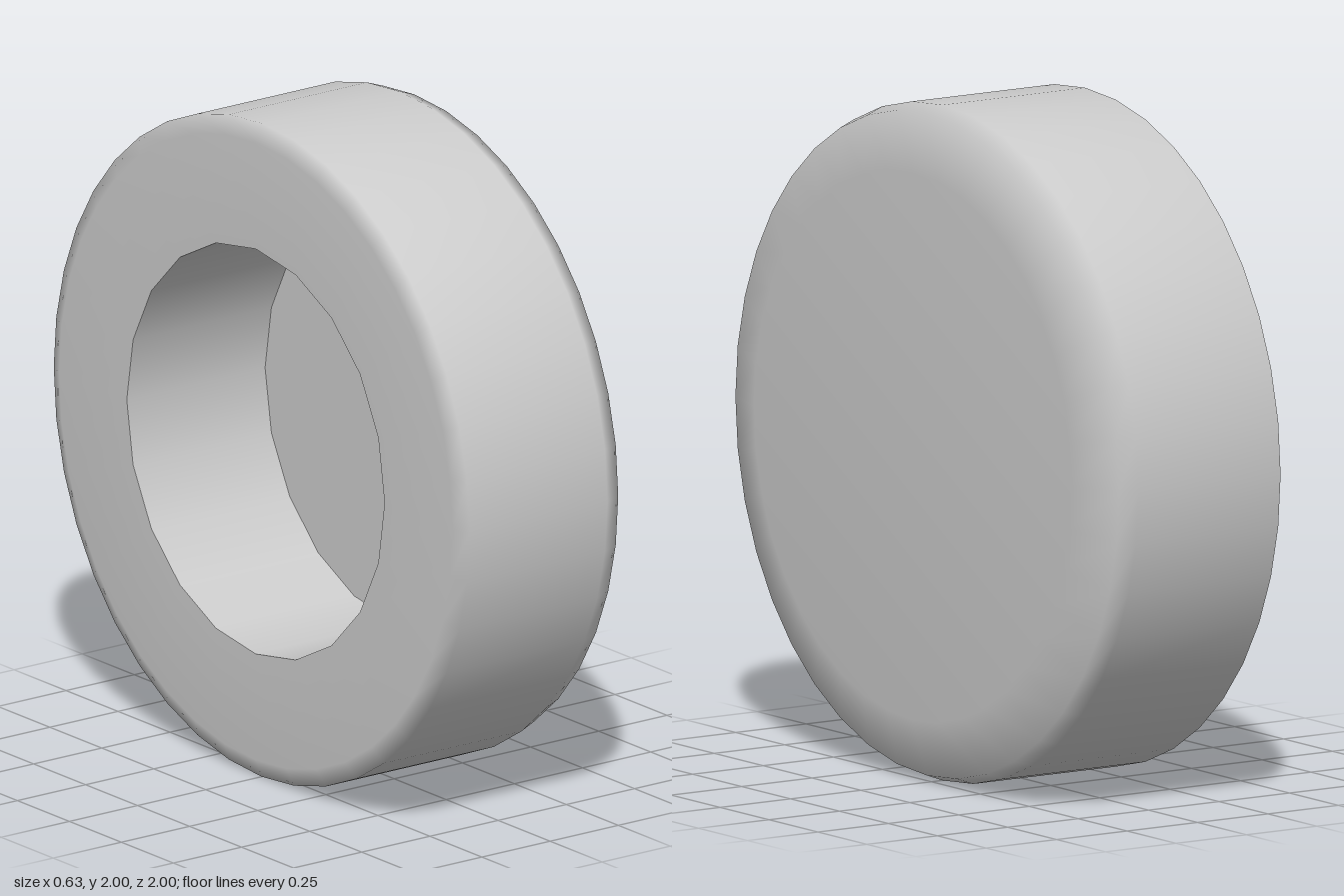
import * as THREE from 'three';

const SIDES = 40;
const BORE_R = 0.62;
const BACK = -0.317, FACE = 0.317, FLOOR = 0.19;

export function createModel() {
  const model = new THREE.Group();
  model.name = 'cap';
  const material = new THREE.MeshStandardMaterial({ color: 0xcccccc });

  // Profiles are [radius, position along x]
  const turn = (name, profile, sides) => {
    const geometry = new THREE.LatheGeometry(profile.map(([r, h]) => new THREE.Vector2(r, h)), sides);
    const mesh = new THREE.Mesh(geometry, material);
    mesh.name = name;
    mesh.rotation.z = -Math.PI / 2;
    mesh.position.y = 1;
    model.add(mesh);
    return mesh;
  };

  // Outer body: open rim, side wall, rounded shoulder and closed face
  const profile = [
    [BORE_R, BACK], [0.945, BACK], [1, -0.295],
    [1, 0.21], [0.98, 0.265], [0.81, FACE], [0, FACE],
  ];
  const shell = turn('shell', profile, SIDES);

  // The bore has half as many sides, so flatten every second rim point onto its chord
  const pos = shell.geometry.attributes.position;
  const chord = Math.cos((2 * Math.PI) / SIDES);
  for (let s = 1; s < SIDES; s += 2) {
    const i = s * profile.length;
    pos.setXYZ(i, pos.getX(i) * chord, pos.getY(i), pos.getZ(i) * chord);
  }

  // Blind bore, open towards -x
  turn('boreWall', [[BORE_R, FLOOR], [BORE_R, BACK]], SIDES / 2);
  turn('boreFloor', [[0, FLOOR], [BORE_R, FLOOR]], SIDES / 2);

  return model;
}
